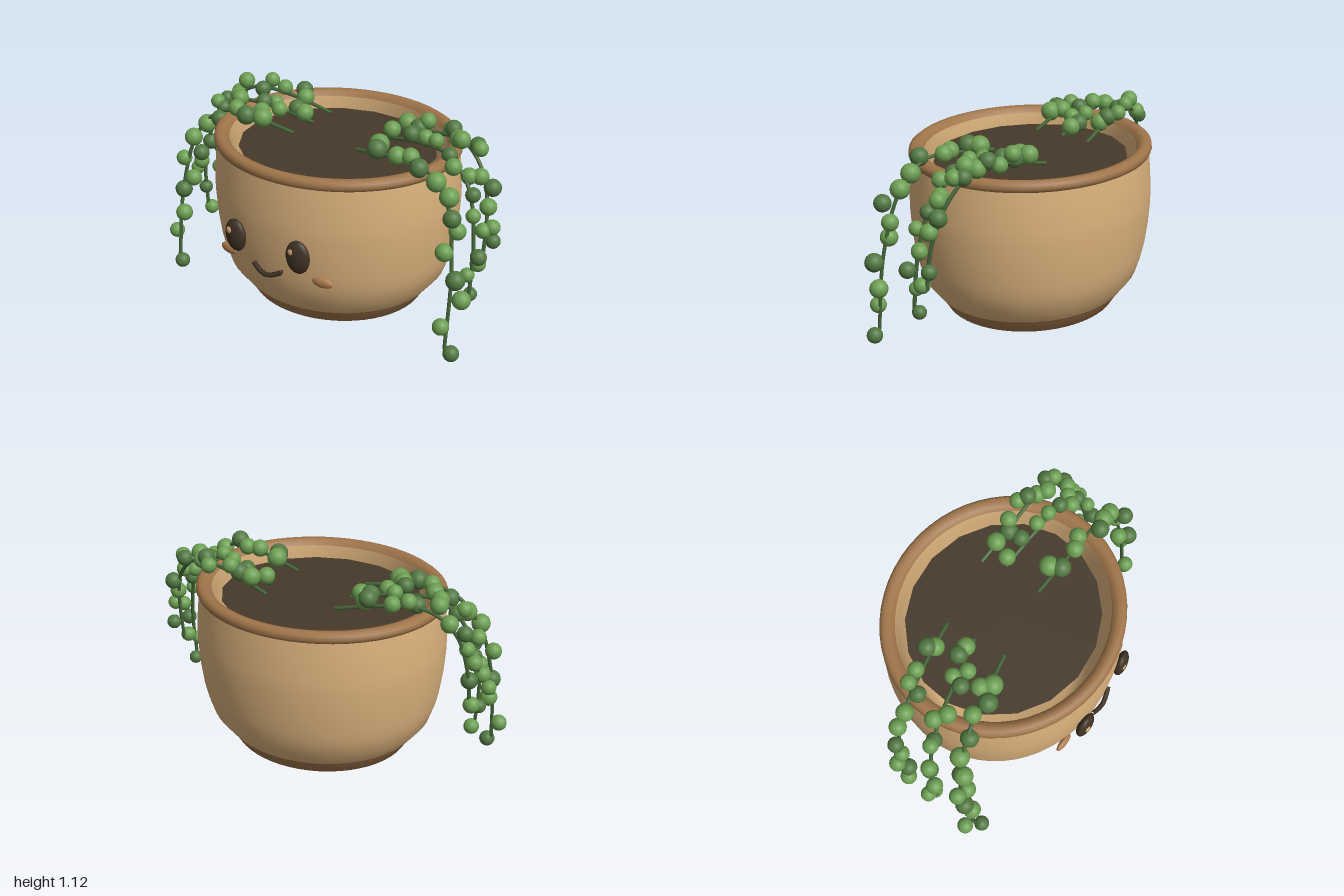
import * as THREE from 'three';

const mat = (name, color) => {
  const m = new THREE.MeshStandardMaterial({ color });
  m.name = name;
  return m;
};
const clay = mat('tan clay', 0xd9b07b);
const brown = mat('brown glaze', 0xa0754a);
const earth = mat('dark soil', 0x46392b);
const dark = mat('dark brown', 0x403224);
const blush = mat('blush', 0xb07d50);
const glint = mat('eye glint', 0xd0a56c);
const leafLight = mat('light green', 0x6c9e52);
const leafDark = mat('dark green', 0x527842);
const stemGreen = mat('stem green', 0x46683a);

const DEPTH = 0.917; // the pot is slightly oval

function mesh(name, geometry, material, parent) {
  const m = new THREE.Mesh(geometry, material);
  m.name = name;
  parent.add(m);
  return m;
}

function lathe(name, profile, material, parent) {
  const pts = profile.map(([r, y]) => new THREE.Vector2(r, y));
  return mesh(name, new THREE.LatheGeometry(pts, 56), material, parent);
}

const curve = (pts) => new THREE.CatmullRomCurve3(pts.map((p) => new THREE.Vector3(...p)));

function buildPot() {
  const pot = new THREE.Group();
  pot.name = 'pot';
  pot.position.set(0.005, 0, -0.015);
  pot.scale.z = DEPTH;

  // drain hole, underside and foot in one smooth sweep
  lathe('foot', [[0.14, 0.15], [0.144, 0.11], [0.165, 0.08], [0.21, 0.067], [0.3, 0.06], [0.42, 0.046], [0.503, 0.064], [0.545, 0.13], [0.56, 0.147]], brown, pot);
  lathe('body', [[0.56, 0.147], [0.63, 0.235], [0.66, 0.325], [0.676, 0.395], [0.692, 0.515], [0.7, 0.635], [0.7, 0.715], [0.691, 0.835], [0.678, 0.935]], clay, pot);
  lathe('rim', [[0.676, 0.925], [0.69, 0.932], [0.697, 0.95], [0.693, 0.972], [0.675, 0.985], [0.65, 0.985], [0.627, 0.977], [0.61, 0.955]], brown, pot);
  lathe('innerWall', [[0.61, 0.955], [0.598, 0.88], [0.59, 0.7], [0.57, 0.5], [0.53, 0.33], [0.45, 0.2], [0.14, 0.15]], clay, pot);

  const soil = mesh('soil', new THREE.CircleGeometry(0.56, 18), earth, pot);
  soil.rotation.x = -Math.PI / 2;
  soil.position.y = 0.9;
  return pot;
}

function buildFace() {
  const face = new THREE.Group();
  face.name = 'face';
  face.position.x = 0.005;
  const ball = new THREE.SphereGeometry(1, 24, 16);
  const oval = (name, material, pos, size, turn) => {
    const m = mesh(name, ball, material, face);
    m.position.set(...pos);
    m.scale.set(...size);
    m.rotation.y = turn;
  };
  for (const s of [1, -1]) {
    const side = s > 0 ? 'left' : 'right';
    oval(side + 'Eye', dark, [s * 0.207, 0.552, 0.62], [0.07, 0.094, 0.035], s * 0.1);
    oval(side + 'EyeGlint', glint, [s * 0.207 - 0.022, 0.584, 0.646], [0.02, 0.02, 0.01], s * 0.1);
    oval(side + 'Cheek', blush, [s * 0.315, 0.407, 0.554], [0.061, 0.03, 0.019], s * 0.13);
  }
  const smile = curve([[-0.093, 0.42, 0.612], [-0.045, 0.395, 0.626], [0, 0.385, 0.632], [0.045, 0.395, 0.626], [0.093, 0.42, 0.612]]);
  mesh('mouth', new THREE.TubeGeometry(smile, 6, 0.014, 8), dark, face);
  // flat caps on the mouth
  for (const s of [1, -1]) {
    const cap = mesh('mouthCap', new THREE.CircleGeometry(0.014, 8), dark, face);
    cap.position.set(s * 0.093, 0.42, 0.612);
    cap.rotation.y = s * Math.PI / 2;
  }
  return face;
}

const pearlGeometry = new THREE.SphereGeometry(1, 18, 14);

// A stem along a path, with round leaves that shrink slightly towards its tip
function vine(name, size, path, pearls) {
  const g = new THREE.Group();
  g.name = name;
  mesh('stem', new THREE.TubeGeometry(curve(path), 40, 0.0105, 6), stemGreen, g);
  pearls.forEach((p, i) => {
    const m = mesh('pearlLeaf', pearlGeometry, i % 3 === 1 ? leafDark : leafLight, g);
    m.position.set(...p);
    m.scale.setScalar(size * [1.04, 1.03, 0.94, 0.92, 0.98][i % 5] * (1.12 - 0.12 * i / pearls.length));
  });
  return g;
}

export function createModel() {
  const model = new THREE.Group();
  model.name = 'pottedTrailingPlant';
  model.add(buildPot(), buildFace());

  // vines over the left edge
  model.add(vine('leftFrontVine', 0.047,
    [[0.2, 0.96, 0.085], [0.45, 1.0, 0.13], [0.66, 1.01, 0.165], [0.82, 0.88, 0.19], [0.9, 0.55, 0.245], [0.912, 0.09, 0.297]],
    [[0.335, 1.02, 0.07], [0.36, 1.02, 0.13], [0.49, 1.02, 0.14], [0.56, 1.025, 0.12], [0.66, 1.02, 0.2],
      [0.75, 0.96, 0.177], [0.83, 0.897, 0.178], [0.89, 0.823, 0.247], [0.895, 0.732, 0.194], [0.855, 0.623, 0.247],
      [0.943, 0.502, 0.276], [0.96, 0.372, 0.233], [0.893, 0.229, 0.314], [0.95, 0.076, 0.293]]));
  model.add(vine('leftMiddleVine', 0.041,
    [[0.24, 0.96, -0.14], [0.5, 1.01, -0.09], [0.68, 1.0, -0.06], [0.82, 0.87, -0.03], [0.89, 0.6, 0.01], [0.9, 0.265, 0.045]],
    [[0.27, 1.01, -0.15], [0.4, 1.02, -0.14], [0.51, 1.04, -0.105], [0.59, 1.05, -0.08], [0.685, 1.0, -0.06],
      [0.735, 0.965, -0.015], [0.8, 0.91, -0.07], [0.85, 0.832, -0.03], [0.885, 0.742, 0.02], [0.92, 0.647, -0.03],
      [0.94, 0.527, 0.04], [0.905, 0.447, -0.025], [0.88, 0.402, 0.04], [0.89, 0.277, 0.015]]));
  model.add(vine('leftBackVine', 0.044,
    [[0.2, 0.96, -0.265], [0.45, 1.02, -0.22], [0.7, 1.03, -0.19], [0.84, 0.9, -0.15], [0.9, 0.7, -0.1], [0.91, 0.435, -0.06]],
    [[0.31, 1.03, -0.24], [0.4, 1.03, -0.215], [0.44, 1.07, -0.24], [0.57, 1.05, -0.26], [0.61, 1.075, -0.22],
      [0.66, 1.04, -0.19], [0.7, 1.06, -0.15], [0.77, 1.03, -0.2], [0.805, 1.03, -0.165], [0.85, 0.91, -0.1],
      [0.9, 0.842, -0.145], [0.91, 0.757, -0.09], [0.955, 0.662, -0.065], [0.94, 0.557, -0.11]]));

  // vines over the right edge
  model.add(vine('rightFrontVine', 0.047,
    [[-0.2, 0.96, 0.11], [-0.45, 1.0, 0.14], [-0.66, 1.0, 0.17], [-0.82, 0.84, 0.21], [-0.9, 0.5, 0.27], [-0.9, 0.07, 0.34]],
    [[-0.385, 1.02, 0.15], [-0.48, 1.02, 0.176], [-0.43, 1.03, 0.1], [-0.575, 1.03, 0.144],
      [-0.67, 0.955, 0.18], [-0.77, 0.9, 0.18], [-0.83, 0.82, 0.235], [-0.81, 0.715, 0.2], [-0.91, 0.67, 0.24],
      [-0.835, 0.567, 0.25], [-0.9, 0.483, 0.27], [-0.88, 0.347, 0.3], [-0.953, 0.205, 0.295], [-0.872, 0.05, 0.35]]));
  model.add(vine('rightMiddleVine', 0.043,
    [[-0.2, 0.96, -0.07], [-0.45, 1.01, -0.03], [-0.68, 1.01, 0.01], [-0.82, 0.88, 0.04], [-0.9, 0.6, 0.07], [-0.89, 0.28, 0.08]],
    [[-0.27, 1.0, -0.08], [-0.33, 1.01, -0.09], [-0.385, 1.02, 0], [-0.45, 1.03, -0.05], [-0.48, 1.05, 0.016],
      [-0.64, 1.04, 0.035], [-0.695, 1.03, -0.015], [-0.77, 0.95, 0.03], [-0.81, 0.98, 0.035], [-0.885, 0.827, 0.06],
      [-0.87, 0.717, 0.05], [-0.91, 0.597, 0.095], [-0.955, 0.537, 0.08], [-0.91, 0.417, 0.07], [-0.88, 0.287, 0.06]]));
  model.add(vine('rightBackVine', 0.043,
    [[-0.2, 0.96, -0.24], [-0.45, 1.02, -0.21], [-0.7, 1.03, -0.17], [-0.84, 0.92, -0.14], [-0.9, 0.7, -0.1], [-0.91, 0.47, -0.07]],
    [[-0.36, 1.03, -0.21], [-0.39, 1.06, -0.24], [-0.52, 1.05, -0.225], [-0.605, 1.08, -0.215], [-0.625, 1.04, -0.15],
      [-0.745, 1.065, -0.15], [-0.81, 0.98, -0.16], [-0.885, 0.93, -0.13], [-0.89, 0.83, -0.1], [-0.935, 0.767, -0.105],
      [-0.9, 0.637, -0.07], [-0.92, 0.497, -0.07]]));
  return model;
}
